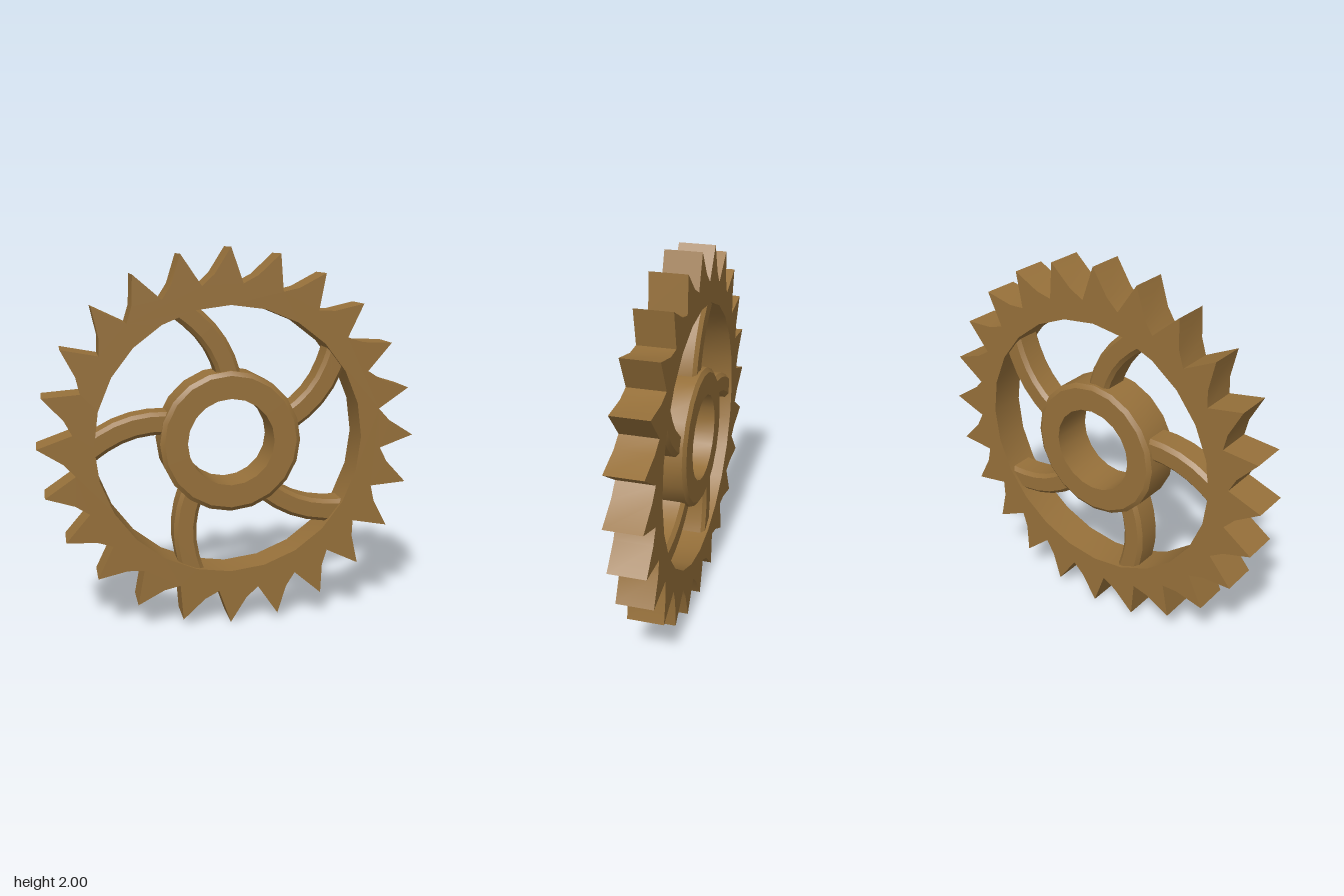
import * as THREE from 'three';
import { toCreasedNormals } from 'three/addons/utils/BufferGeometryUtils.js';

const TEETH = 24, SPOKES = 5, CREASE = 0.45;
const polar = (r, deg) => new THREE.Vector2(
  r * Math.cos(THREE.MathUtils.degToRad(deg)), r * Math.sin(THREE.MathUtils.degToRad(deg)));

// Saw-toothed ring with a round opening
function ringGeometry() {
  const outline = [], hole = [], step = 360 / TEETH;
  for (let i = 0; i < TEETH; i++) {
    const a = i * step;
    outline.push(polar(1, a), polar(0.87, a + 5.6), polar(0.82, a + 10.5));
    hole.push(polar(0.71, a));
  }
  const shape = new THREE.Shape(outline);
  shape.holes.push(new THREE.Path(hole));
  const g = new THREE.ExtrudeGeometry(shape, { depth: 0.194, bevelEnabled: false });
  g.translate(0, 0, -0.097);
  return toCreasedNormals(g, CREASE);
}

// Hollow hub with chamfered rims
function hubGeometry() {
  const profile = [[0.23, 0.112], [0.23, -0.112], [0.35, -0.112], [0.373, -0.095],
    [0.373, 0.095], [0.35, 0.112], [0.23, 0.112]].map(([r, y]) => new THREE.Vector2(r, y));
  const g = new THREE.LatheGeometry(profile, 20);
  g.rotateX(Math.PI / 2);
  return toCreasedNormals(g, CREASE);
}

// Curved spoke with bevelled edges; both ends are buried in hub and ring
function spokeGeometry() {
  const bevel = 0.02, half = 0.06 - bevel;
  const curve = new THREE.CatmullRomCurve3([[0, 0.32], [-0.012, 0.38], [-0.06, 0.49],
    [-0.134, 0.59], [-0.225, 0.67], [-0.27, 0.7]].map(([x, y]) => new THREE.Vector3(x, y, 0)));
  const left = [], right = [], n = 7;
  for (let i = 0; i <= n; i++) {
    const p = curve.getPoint(i / n), t = curve.getTangent(i / n);
    left.push(new THREE.Vector2(p.x - t.y * half, p.y + t.x * half));
    right.push(new THREE.Vector2(p.x + t.y * half, p.y - t.x * half));
  }
  const g = new THREE.ExtrudeGeometry(new THREE.Shape([...right, ...left.reverse()]), {
    depth: 0.12, bevelEnabled: true, bevelThickness: bevel, bevelSize: bevel, bevelSegments: 1,
  });
  g.translate(0, 0, -0.06);
  return toCreasedNormals(g, CREASE);
}

export function createModel() {
  const model = new THREE.Group();
  model.name = 'sawToothWheel';
  const bronze = new THREE.MeshStandardMaterial({ color: 0x96703a });
  bronze.name = 'bronze';

  const add = (name, geometry) => {
    const mesh = new THREE.Mesh(geometry, bronze);
    mesh.name = name;
    mesh.position.y = 1;
    model.add(mesh);
    return mesh;
  };

  add('toothedRing', ringGeometry());
  add('hub', hubGeometry());
  const spoke = spokeGeometry();
  for (let i = 0; i < SPOKES; i++) {
    add(`spoke${i + 1}`, spoke).rotation.z = (i * 2 * Math.PI) / SPOKES;
  }
  return model;
}
